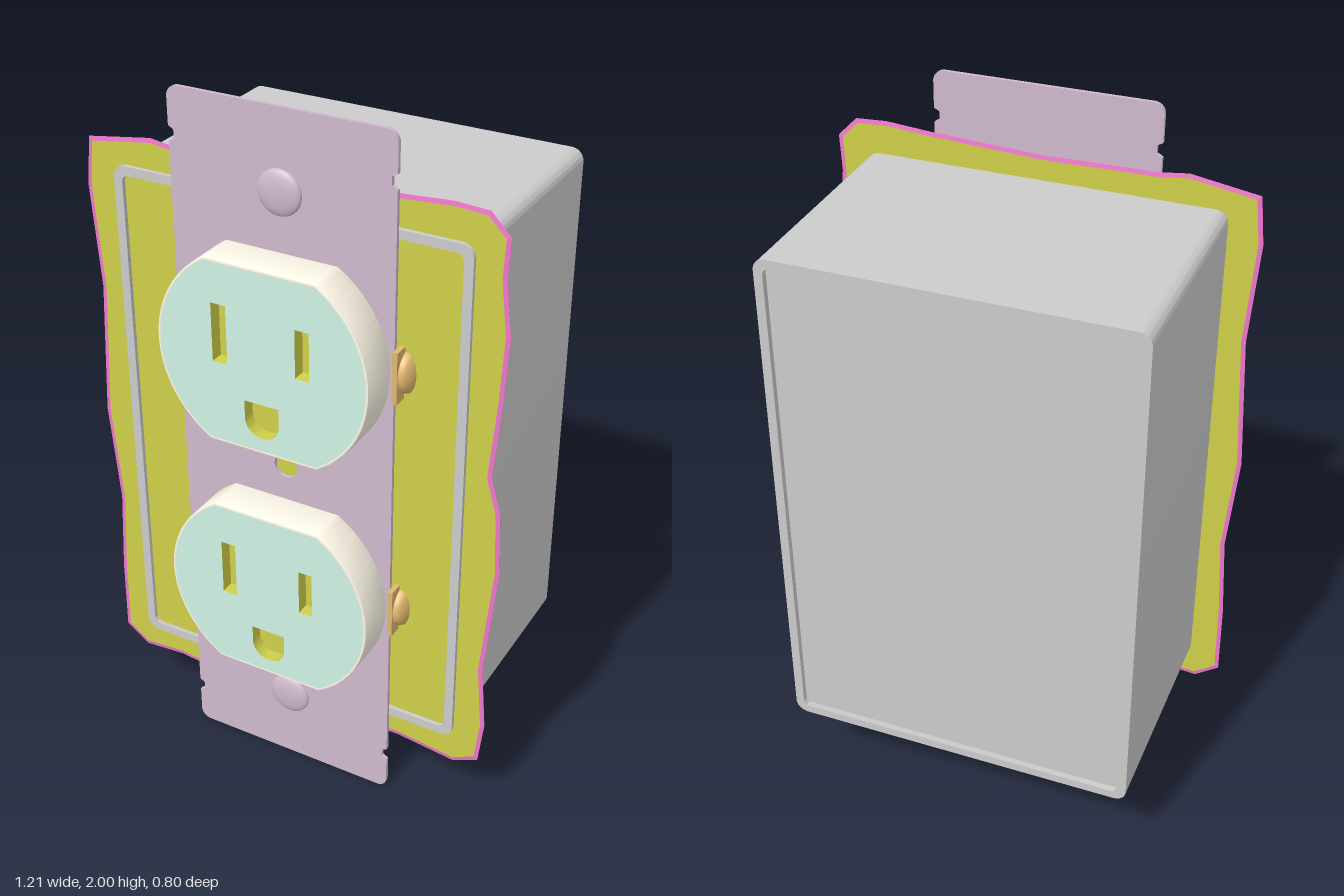
import * as THREE from 'three';
import { toCreasedNormals } from 'three/addons/utils/BufferGeometryUtils.js';

const CX = -0.005; // shared centre line of the device
const mat = (color) => new THREE.MeshStandardMaterial({ color });
const grey = mat(0xcccccc), olive = mat(0xcfcf4a), pink = mat(0xee77cc), lilac = mat(0xcfbacd),
  mint = mat(0xcff2e4), cream = mat(0xfff8e8), brass = mat(0xe0b870);

function add(parent, name, geometry, material, x = 0, y = 0, z = 0) {
  const mesh = new THREE.Mesh(geometry, material);
  mesh.name = name;
  mesh.position.set(x, y, z);
  parent.add(mesh);
  return mesh;
}

function extrude(shape, depth, bevel = 0) {
  const g = new THREE.ExtrudeGeometry(shape, {
    depth: depth - 2 * bevel, curveSegments: 24, bevelEnabled: bevel > 0,
    bevelSize: bevel, bevelThickness: bevel, bevelOffset: -bevel, bevelSegments: 2,
  });
  g.translate(0, 0, bevel);
  const groups = g.groups.map((o) => ({ ...o }));
  const out = toCreasedNormals(g, 0.6);
  out.clearGroups();
  groups.forEach((o) => out.addGroup(o.start, o.count, o.materialIndex));
  return out;
}

function roundedRect(w, h, r, cy = 0) {
  const s = new THREE.Shape();
  s.absarc(w / 2 - r, cy + h / 2 - r, r, 0, Math.PI / 2);
  s.absarc(-w / 2 + r, cy + h / 2 - r, r, Math.PI / 2, Math.PI);
  s.absarc(-w / 2 + r, cy - h / 2 + r, r, Math.PI, Math.PI * 1.5);
  s.absarc(w / 2 - r, cy - h / 2 + r, r, Math.PI * 1.5, Math.PI * 2);
  s.closePath();
  return s;
}

// Round outlet outline with flat top and bottom
function outletOutline(r, flat) {
  const a = Math.asin(flat / r);
  const s = new THREE.Shape();
  s.absarc(0, 0, r, -a, a);
  s.absarc(0, 0, r, Math.PI - a, Math.PI + a);
  s.closePath();
  return s;
}

// Two blade slots and the U-shaped ground opening
function outletSlots() {
  const rect = (x0, x1, y0, y1) => new THREE.Shape(
    [[x0, y0], [x1, y0], [x1, y1], [x0, y1]].map((p) => new THREE.Vector2(...p)));
  const ground = new THREE.Shape();
  ground.moveTo(0.05, -0.115);
  ground.lineTo(-0.05, -0.115);
  ground.lineTo(-0.05, -0.165);
  ground.absarc(0, -0.165, 0.05, Math.PI, Math.PI * 2);
  ground.closePath();
  return [rect(-0.14, -0.097, -0.025, 0.14), rect(0.1, 0.14, -0.01, 0.125), ground];
}

// Domed cap around +y
function dome(r, h) {
  const pts = [new THREE.Vector2(r, 0)];
  for (let i = 0; i <= 8; i++) {
    const a = (i / 8) * Math.PI / 2;
    pts.push(new THREE.Vector2(r * Math.cos(a), h * (0.2 + 0.8 * Math.sin(a))));
  }
  return new THREE.LatheGeometry(pts, 32);
}

function makeOutlet() {
  const g = new THREE.Group();
  g.name = 'outlet';
  const shell = outletOutline(0.304, 0.26);
  shell.holes.push(outletOutline(0.294, 0.25));
  add(g, 'outletShell', extrude(shell, 0.115, 0.004), cream, 0, 0, 0.285);
  const face = outletOutline(0.297, 0.253);
  face.holes.push(...outletSlots());
  add(g, 'outletFace', extrude(face, 0.04), [mint, olive], 0, 0, 0.3595);
  add(g, 'slotFloor', new THREE.ShapeGeometry(outletOutline(0.295, 0.251), 24), olive, 0, 0, 0.362);

  // Terminal screws on both sides
  for (const side of [-1, 1]) {
    const m = side > 0 ? brass : lilac;
    add(g, 'terminalPlate', new THREE.BoxGeometry(0.014, 0.145, 0.13), m, side * 0.322, 0, 0.235);
    const screw = add(g, 'terminalScrew', dome(0.062, 0.034), m, side * 0.329, 0, 0.235);
    screw.rotation.z = -side * Math.PI / 2;
  }
  return g;
}

// Mounting strap with rounded corners and break-off notches
function strapShape() {
  const w = 0.315, r = 0.03, s = new THREE.Shape();
  const notch = (x, y, dir) => {
    const i = x - Math.sign(x) * 0.015;
    [[x, -0.02], [i, -0.012], [i, 0.012], [x, 0.02]].forEach(([px, d]) => s.lineTo(px, y + d * dir));
  };
  s.moveTo(-w + r, 0);
  s.absarc(w - r, r, r, -Math.PI / 2, 0);
  notch(w, 0.125, 1);
  notch(w, 1.875, 1);
  s.absarc(w - r, 2 - r, r, 0, Math.PI / 2);
  s.absarc(-w + r, 2 - r, r, Math.PI / 2, Math.PI);
  notch(-w, 1.875, -1);
  notch(-w, 0.125, -1);
  s.absarc(-w + r, r, r, Math.PI, Math.PI * 1.5);
  s.closePath();
  s.holes.push(new THREE.Path().absarc(0, 1.003, 0.034, 0, Math.PI * 2));
  return s;
}

export function createModel() {
  const model = new THREE.Group();
  model.name = 'wallOutlet';

  // Wall box: tube of four walls with a slightly recessed back
  const tube = roundedRect(1.01, 1.49, 0.035, 1.005);
  tube.holes.push(roundedRect(0.96, 1.44, 0.02, 1.005));
  add(model, 'boxWalls', extrude(tube, 0.672), grey, CX, 0, -0.402);
  add(model, 'boxBack', extrude(roundedRect(0.965, 1.445, 0.02, 1.005), 0.02), grey, CX, 0, -0.385);

  // Torn wall sheet with a pink edge
  const torn = [[-0.59, 1.805], [-0.4, 1.835], [-0.32, 1.825], [0, 1.82], [0.31, 1.835], [0.44, 1.845],
    [0.53, 1.84], [0.585, 1.785], [0.58, 1.68], [0.597, 1.53], [0.588, 1.35], [0.57, 1.13], [0.598, 1.03],
    [0.606, 0.85], [0.588, 0.66], [0.575, 0.52], [0.59, 0.33], [0.575, 0.2], [0.5, 0.165], [0.33, 0.185],
    [0, 0.18], [-0.32, 0.175], [-0.4, 0.185], [-0.53, 0.175], [-0.6, 0.225], [-0.597, 0.45], [-0.582, 0.7],
    [-0.607, 0.99], [-0.585, 1.38], [-0.605, 1.67]].map((p) => new THREE.Vector2(...p));
  const sheet = new THREE.ExtrudeGeometry(new THREE.Shape(torn), {
    depth: 0.001, bevelSize: 0.012, bevelOffset: -0.012, bevelThickness: 0.002, bevelSegments: 1,
  });
  add(model, 'wallSheet', sheet, [olive, pink], 0, 0, 0.255);

  // Mounting strap
  add(model, 'strap', extrude(strapShape(), 0.011), lilac, CX, 0, 0.277);

  // Two outlets
  for (const y of [0.64, 1.365]) {
    const outlet = makeOutlet();
    outlet.position.set(CX, y, 0);
    model.add(outlet);
  }

  // Slotted mounting screws
  for (const [y, angle] of [[0.222, 1.85], [1.785, 0.3]]) {
    const screw = new THREE.Group();
    screw.name = 'mountingScrew';
    screw.position.set(CX, y, 0.287);
    screw.rotation.z = angle;
    add(screw, 'screwHead', dome(0.061, 0.021), lilac).rotation.x = Math.PI / 2;
    for (const d of [-0.009, 0.009]) {
      add(screw, 'screwSlotEdge', new THREE.BoxGeometry(0.055, 0.003, 0.004), lilac, 0, d, 0.0185);
    }
    model.add(screw);
  }
  return model;
}
